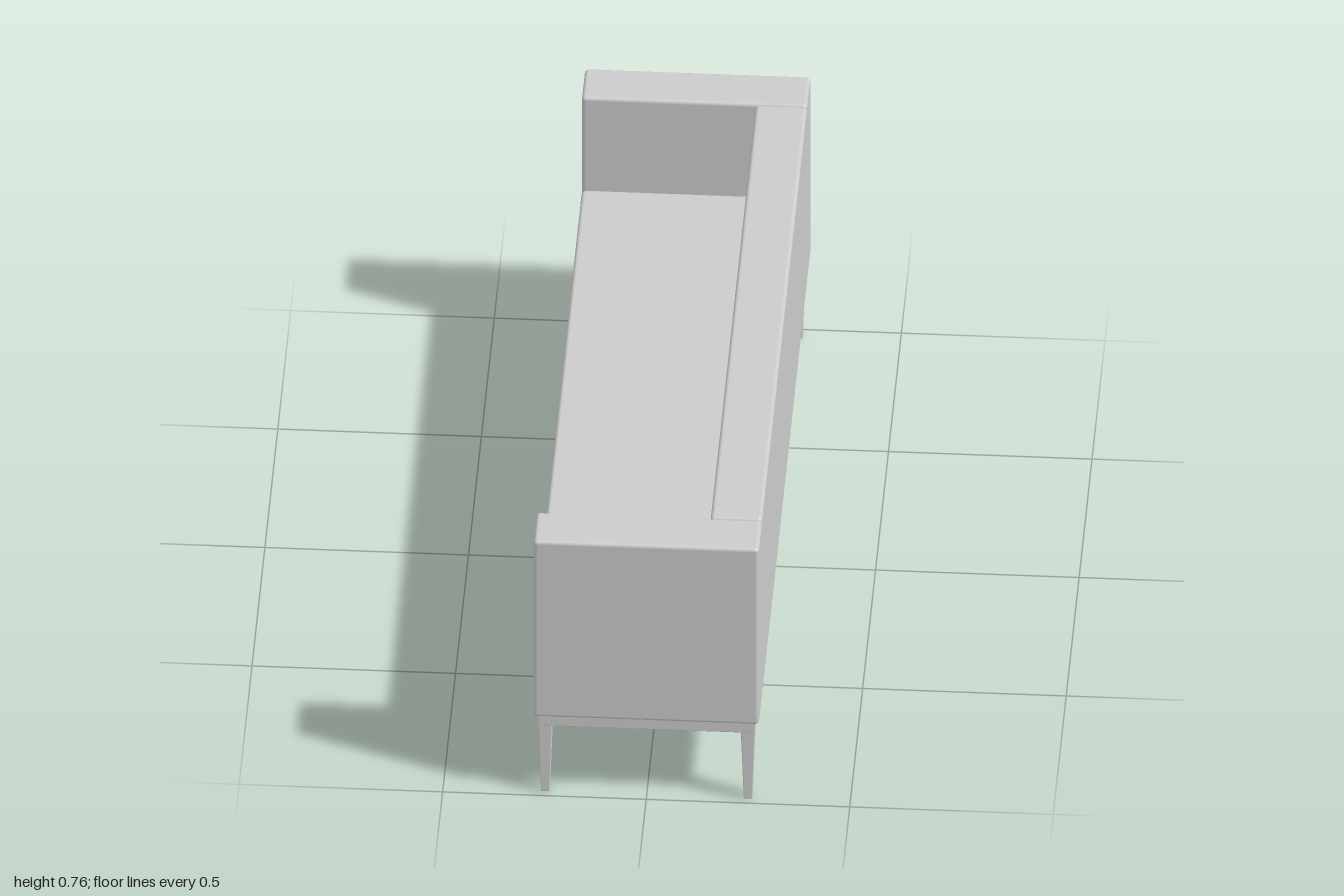
import * as THREE from 'three';
import { RoundedBoxGeometry } from 'three/addons/geometries/RoundedBoxGeometry.js';

const material = new THREE.MeshStandardMaterial({ color: 0xcccccc });

// Soft-edged block given by its lower and upper corners
function block(name, [x0, y0, z0], [x1, y1, z1], radius) {
  const geometry = new RoundedBoxGeometry(x1 - x0, y1 - y0, z1 - z0, 3, radius);
  const mesh = new THREE.Mesh(geometry, material);
  mesh.position.set((x0 + x1) / 2, (y0 + y1) / 2, (z0 + z1) / 2);
  mesh.name = name;
  return mesh;
}

// Square leg, narrowing evenly towards the floor
function taperedLeg(height, topWidth, footWidth) {
  const geometry = new RoundedBoxGeometry(topWidth, height, topWidth, 2, 0.003);
  const p = geometry.attributes.position;
  for (let i = 0; i < p.count; i++) {
    const t = p.getY(i) / height + 0.5;
    const s = THREE.MathUtils.lerp(footWidth / topWidth, 1, t);
    p.setX(i, p.getX(i) * s);
    p.setZ(i, p.getZ(i) * s);
  }
  geometry.translate(0, height / 2, 0);
  return geometry;
}

export function createModel() {
  const sofa = new THREE.Group();
  sofa.name = 'sofa';

  const W = 0.277, L = 1, inner = 0.873; // half depth, half length, inside face of arms
  const floor = 0.235, top = 0.765, seatTop = 0.49, seam = 0.363;
  const backFront = 0.15, r = 0.01;

  // Upholstery: the seat opens towards -x, the back stands at +x
  sofa.add(block('backrest', [backFront, floor, -inner], [W, top, inner], r));
  sofa.add(block('seatBase', [-W, floor, -inner], [backFront, seam, inner], r));
  sofa.add(block('seatCushion', [-W, seam, -inner], [backFront, seatTop, inner], r));
  sofa.add(block('leftArm', [-W, floor, inner], [W, top, L], r));
  sofa.add(block('rightArm', [-W, floor, -L], [W, top, -inner], r));

  // Open rail frame under the upholstery
  const fx = 0.267, fz = 0.99, rail = 0.033, railBottom = 0.204;
  const frame = new THREE.Group();
  frame.name = 'frame';
  for (const s of [-1, 1]) {
    const cx = s * (fx - rail / 2), cz = s * (fz - rail / 2);
    frame.add(block('longRail', [cx - rail / 2, railBottom, -fz], [cx + rail / 2, floor + 0.002, fz], 0.002));
    frame.add(block('endRail', [-fx + rail, railBottom, cz - rail / 2], [fx - rail, floor + 0.002, cz + rail / 2], 0.002));
  }
  sofa.add(frame);

  // Four corner legs
  const legGeometry = taperedLeg(floor, 0.037, 0.021);
  for (const sx of [-1, 1]) {
    for (const sz of [-1, 1]) {
      const leg = new THREE.Mesh(legGeometry, material);
      leg.name = 'leg';
      leg.position.set(sx * 0.249, 0, sz * 0.971);
      sofa.add(leg);
    }
  }
  return sofa;
}
